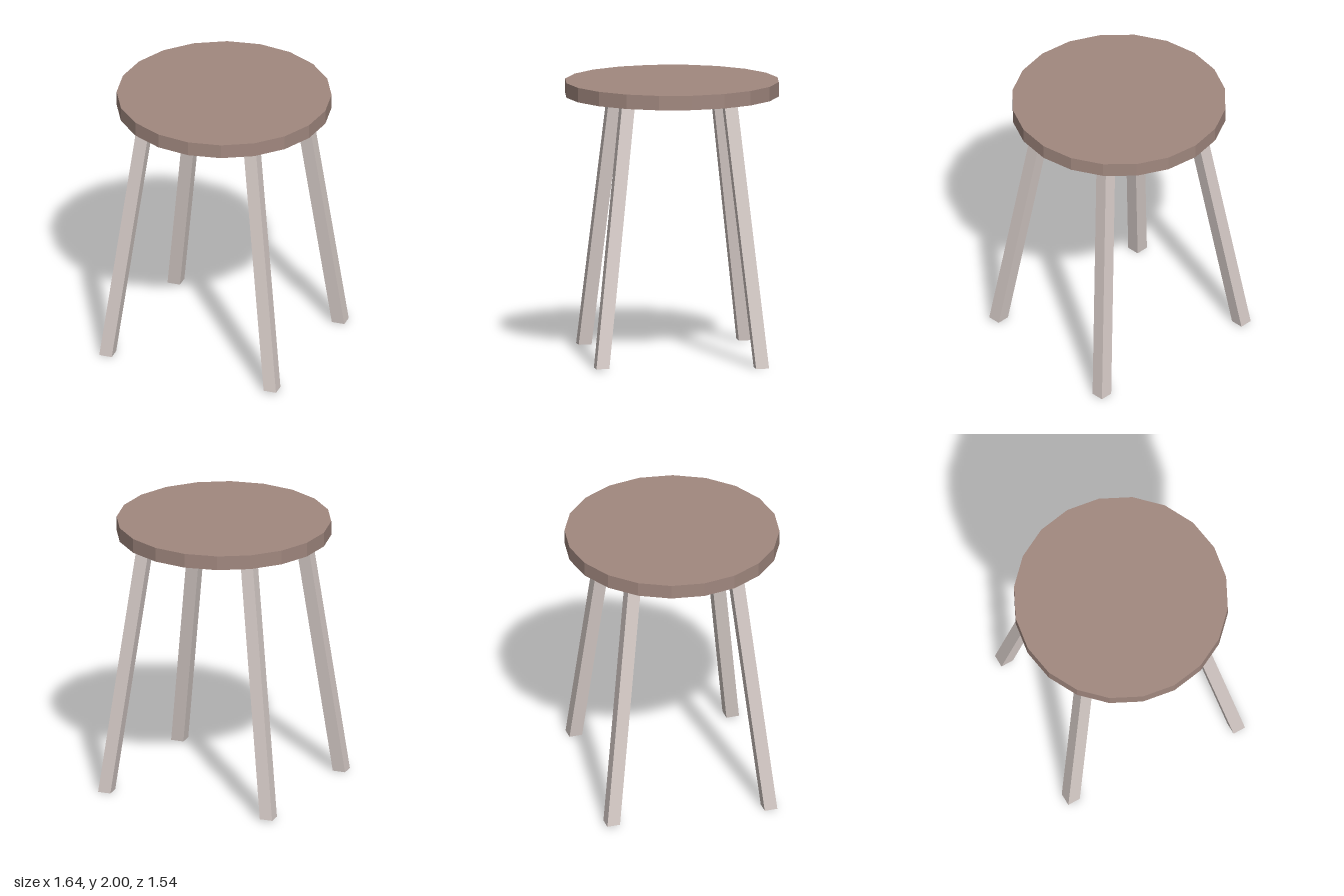
import * as THREE from 'three';

const material = (name, color) => {
  const m = new THREE.MeshStandardMaterial({ color, flatShading: true });
  m.name = name;
  return m;
};

// Square bar with level ends, sheared from a foot point to a top point
function leg(foot, top, mat) {
  const geo = new THREE.CylinderGeometry(0.067, 0.067, 1, 4);
  geo.rotateY(-THREE.MathUtils.degToRad(27));
  const a = new THREE.Vector3(...foot);
  const b = new THREE.Vector3(...top);
  const pos = geo.attributes.position;
  for (let i = 0; i < pos.count; i++) {
    const p = a.clone().lerp(b, pos.getY(i) + 0.5);
    pos.setXYZ(i, p.x + pos.getX(i), p.y, p.z + pos.getZ(i));
  }
  geo.computeVertexNormals();
  return new THREE.Mesh(geo, mat);
}

export function createModel() {
  const model = new THREE.Group();
  model.name = 'stool';
  const seatWood = material('seat wood', 0xa1887f);
  const legWood = material('leg wood', 0xd7ccc8);

  // Twenty-sided seat
  const seat = new THREE.Mesh(new THREE.CylinderGeometry(0.772, 0.772, 0.105, 20), seatWood);
  seat.name = 'seat';
  seat.position.set(0.003, 1.9475, -0.002);
  model.add(seat);

  // Splayed legs: name, foot, top
  const legs = [
    ['frontLeftLeg', [0.76, 0.014, 0.415], [0.455, 1.9, 0.265]],
    ['backLeftLeg', [0.51, 0, -0.71], [0.347, 1.9, -0.46]],
    ['backRightLeg', [-0.765, 0.014, -0.43], [-0.453, 1.9, -0.275]],
    ['frontRightLeg', [-0.512, 0, 0.698], [-0.35, 1.9, 0.448]],
  ];
  for (const [name, foot, top] of legs) {
    const mesh = leg(foot, top, legWood);
    mesh.name = name;
    model.add(mesh);
  }
  return model;
}
